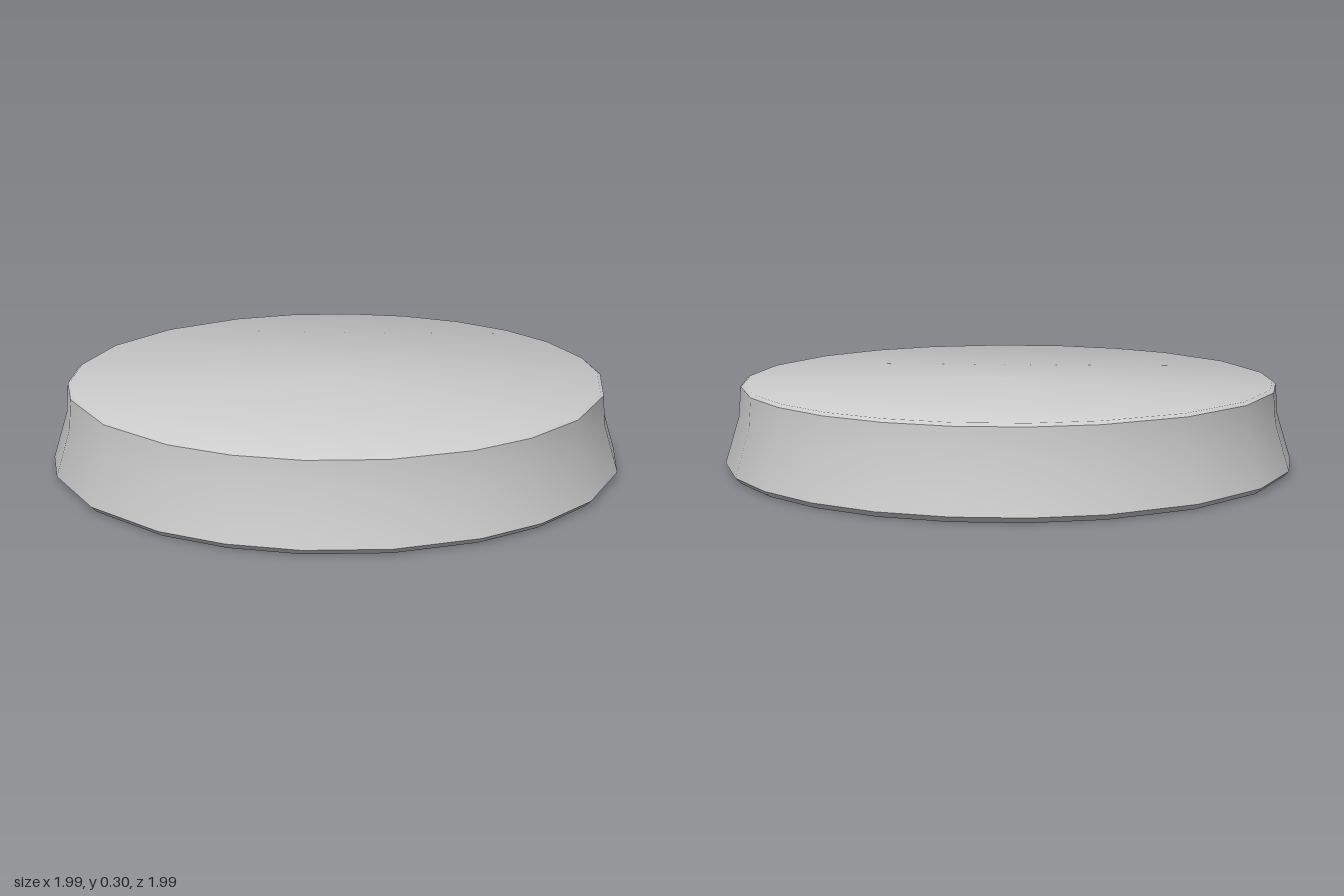
import * as THREE from 'three';
import { toCreasedNormals } from 'three/addons/utils/BufferGeometryUtils.js';

// Uneven angles (degrees, from the front towards the left) of the 23 sides
const ANGLES = [-164, -146, -133, -120, -100, -81, -67, -53, -37, -20, -6, 10,
  29, 46, 58, 74, 88, 102, 116, 130, 144, 158, 177, 196];

// Radius and height, from the centre of the underside round to the top
const PROFILE = [
  [0, 0.05], [0.72, 0.05],                // raised disc underneath
  [0.78, 0.1], [0.84, 0.1],               // groove
  [0.95, 0.02], [0.98, 0.005], [1, 0.025], // foot rim
  [0.95, 0.19], [0.942, 0.295],           // flared side wall
  [0.93, 0.305], [0, 0.305],              // flat top
];

// Lathe whose columns are turned to the uneven angles
function unevenLathe(profile, angles) {
  const points = profile.map(([r, y]) => new THREE.Vector2(r, y));
  const geometry = new THREE.LatheGeometry(points, angles.length - 1);
  const position = geometry.attributes.position;
  for (let k = 0; k < position.count; k++) {
    const [r, y] = profile[k % profile.length];
    const a = THREE.MathUtils.degToRad(angles[Math.floor(k / profile.length)]);
    position.setXYZ(k, r * Math.sin(a), y, r * Math.cos(a));
  }
  return toCreasedNormals(geometry, 0.75);
}

export function createModel() {
  const group = new THREE.Group();
  group.name = 'roundBase';
  const geometry = unevenLathe(PROFILE, ANGLES);
  // Set the foot on the ground
  geometry.computeBoundingBox();
  geometry.translate(0, -geometry.boundingBox.min.y, 0);
  const base = new THREE.Mesh(geometry, new THREE.MeshStandardMaterial({ color: 0xcccccc }));
  base.name = 'base';
  group.add(base);
  return group;
}
